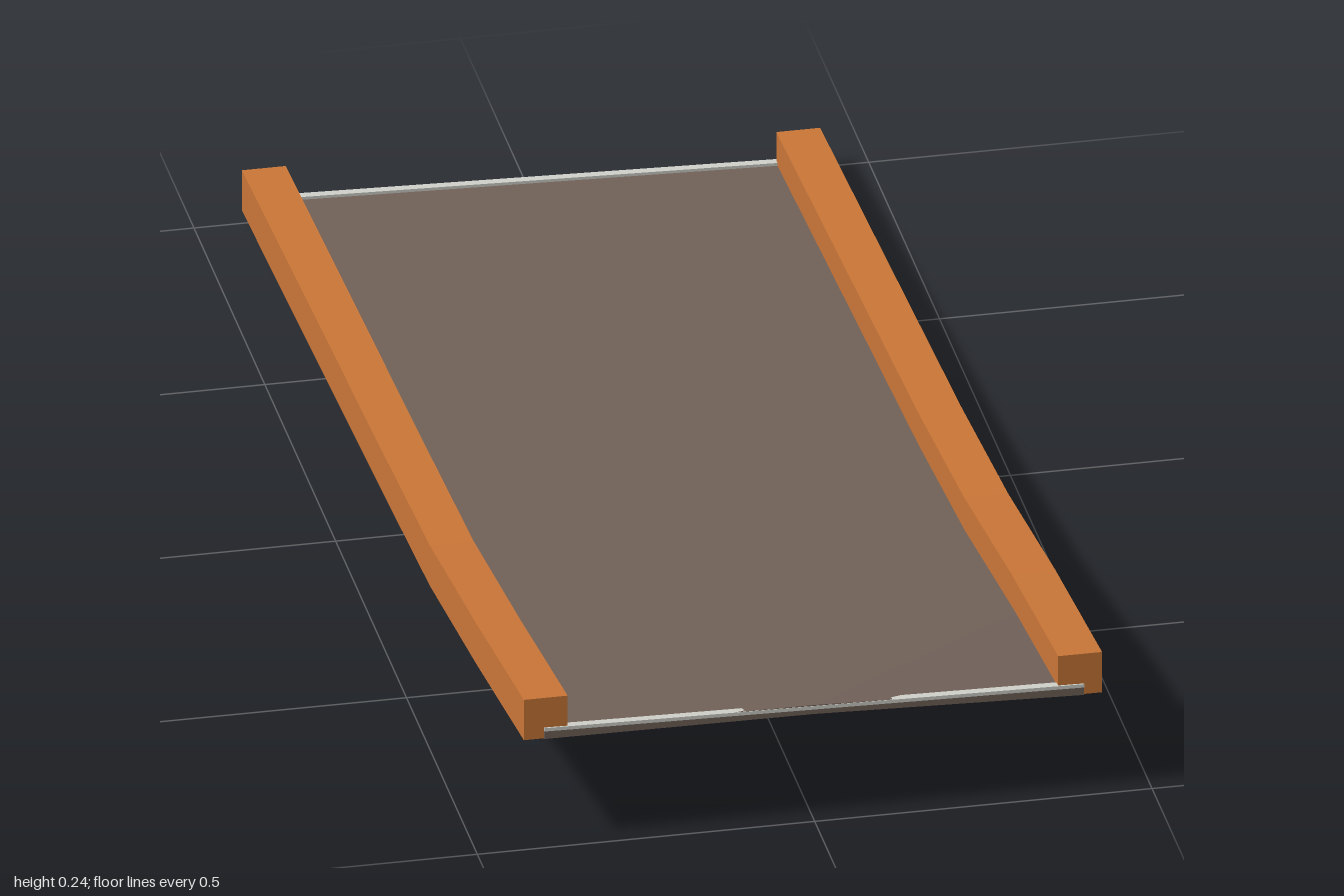
import * as THREE from 'three';

// Underside heights of the ramp from back (z = -1) to front (z = 1)
const RIGHT_SIDE = [0.026, 0.042, 0.058, 0.074, 0.092, 0.133, 0.18]; // at x = -0.4
const LEFT_SIDE = [0.003, 0.021, 0.039, 0.057, 0.085, 0.131, 0.166]; // at x = +0.4

function sample(list, z) {
  const t = THREE.MathUtils.clamp((z + 1) * 3, 0, 6);
  const i = Math.min(5, Math.floor(t));
  return THREE.MathUtils.lerp(list[i], list[i + 1], t - i);
}

// Height of the twisted, sloping surface
function surface(x, z, bulge) {
  const y = THREE.MathUtils.lerp(sample(RIGHT_SIDE, z), sample(LEFT_SIDE, z), (x + 0.4) / 0.8);
  const crown = bulge * Math.max(0, (z - 0.667) * 3) * (1 - Math.abs(x) / 0.4);
  return y + crown;
}

// Box lying on the surface: bent along its length, with faceted normals
function bentBox(name, material, x0, x1, z0, z1, y0, y1, { sx = 1, sz = 6, bulge = 0, level = false } = {}) {
  const box = new THREE.BoxGeometry(x1 - x0, y1 - y0, z1 - z0, sx, 1, sz);
  box.translate((x0 + x1) / 2, (y0 + y1) / 2, (z0 + z1) / 2);
  const p = box.attributes.position;
  const middle = (x0 + x1) / 2;
  for (let i = 0; i < p.count; i++) {
    const x = level ? middle : p.getX(i);
    p.setY(i, p.getY(i) + surface(x, p.getZ(i), bulge));
  }
  const geometry = box.toNonIndexed();
  geometry.computeVertexNormals();
  const mesh = new THREE.Mesh(geometry, material);
  mesh.name = name;
  return mesh;
}

export function createModel() {
  const orange = new THREE.MeshStandardMaterial({ color: 0xcd7838 });
  orange.name = 'orange';
  const brown = new THREE.MeshStandardMaterial({ color: 0x73635a });
  brown.name = 'dark brown';
  const white = new THREE.MeshStandardMaterial({ color: 0xd4d5cd });
  white.name = 'off white';

  const ramp = new THREE.Group();
  ramp.name = 'ramp';

  // Road deck, slightly crowned at its front end
  ramp.add(bentBox('deck', brown, -0.4, 0.4, -0.997, 0.997, -0.0006, 0.014, { sx: 2, bulge: 0.005 }));

  // Side rails
  ramp.add(bentBox('rightRail', orange, -0.43, -0.365, -0.995, 0.995, 0, 0.066, { level: true }));
  ramp.add(bentBox('leftRail', orange, 0.362, 0.427, -0.995, 0.995, 0, 0.066, { level: true }));

  // Pale strips along both ends of the deck
  ramp.add(bentBox('frontStrip', white, -0.4, 0.4, 0.982, 0.998, 0.012, 0.0175, { sz: 1 }));
  ramp.add(bentBox('backStrip', white, -0.4, 0.4, -1, -0.986, 0.012, 0.0185, { sz: 1 }));

  return ramp;
}
